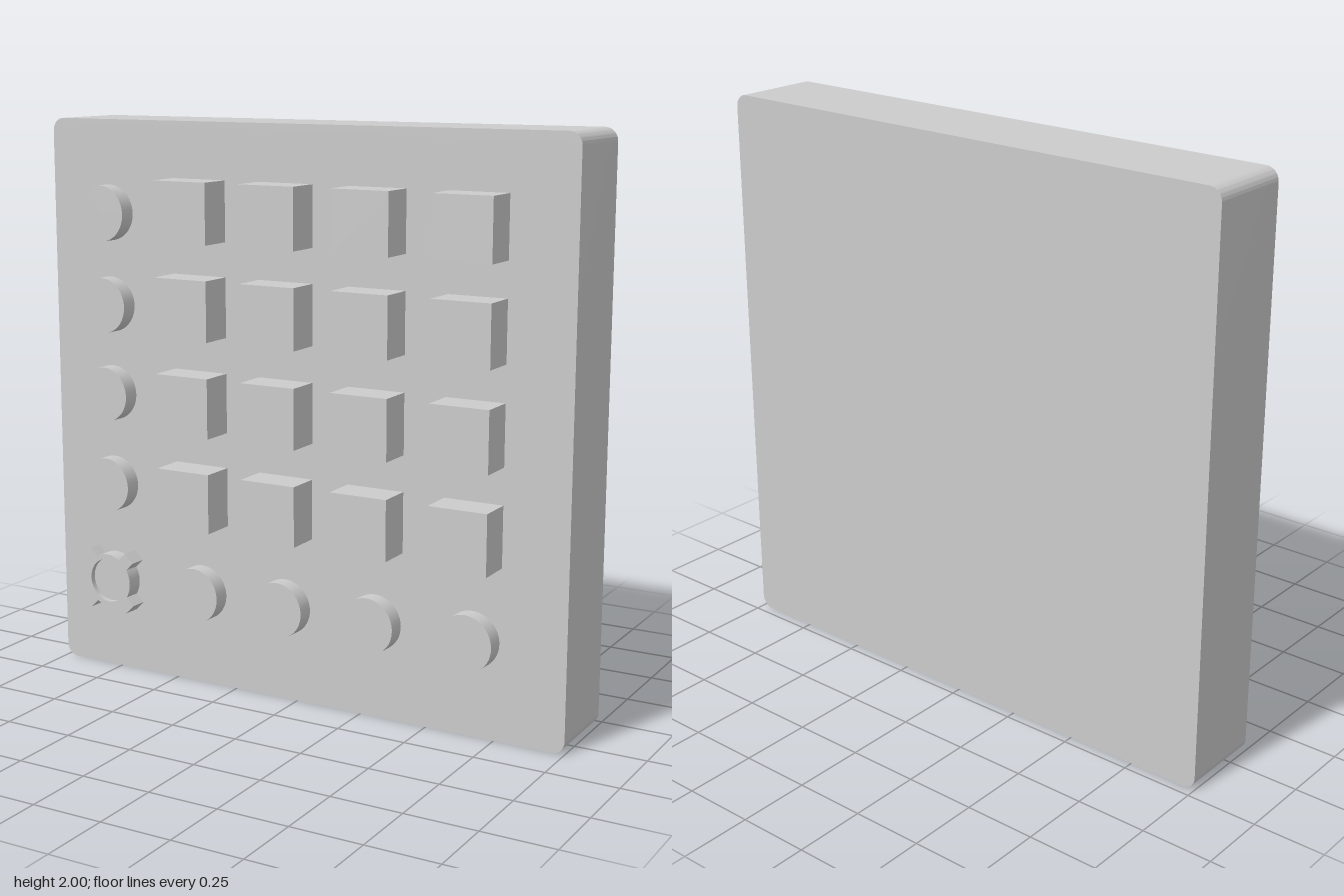
import * as THREE from 'three';
import { toCreasedNormals } from 'three/addons/utils/BufferGeometryUtils.js';

const FACE = 0.09, BACK = -0.215;
const TILT = -0.05; // round controls lean very slightly sideways
const material = new THREE.MeshStandardMaterial({ color: 0xcccccc });

function addMesh(parent, name, geometry, x = 0, y = 0, z = 0) {
  const mesh = new THREE.Mesh(geometry, material);
  mesh.name = name;
  mesh.position.set(x, y, z);
  parent.add(mesh);
  return mesh;
}

function extrude(shape, depth) {
  const geometry = new THREE.ExtrudeGeometry(shape, { depth, bevelEnabled: false, curveSegments: 24 });
  return toCreasedNormals(geometry, 0.6);
}

// Square slab outline with rounded corners
function slabShape(r) {
  const s = new THREE.Shape();
  s.absarc(1 - r, 2 - r, r, 0, Math.PI / 2);
  s.absarc(r - 1, 2 - r, r, Math.PI / 2, Math.PI);
  s.absarc(r - 1, r, r, Math.PI, Math.PI * 1.5);
  s.absarc(1 - r, r, r, Math.PI * 1.5, Math.PI * 2);
  s.closePath();
  return s;
}

// Ring outline with four diagonal lugs
function luggedRing(radius, reach, halfWidth, hole) {
  const s = new THREE.Shape();
  const a = Math.asin(halfWidth / radius), b = Math.asin(halfWidth / reach);
  for (let i = 0; i < 4; i++) {
    const mid = Math.PI / 4 + i * Math.PI / 2;
    for (const t of [mid - b, mid + b]) {
      const x = reach * Math.cos(t), y = reach * Math.sin(t);
      if (i === 0 && t < mid) s.moveTo(x, y);
      else s.lineTo(x, y);
    }
    s.absarc(0, 0, radius, mid + a, mid + Math.PI / 2 - a);
  }
  s.closePath();
  s.holes.push(new THREE.Path().absarc(0, 0, hole, 0, Math.PI * 2, true));
  return s;
}

export function createModel() {
  const model = new THREE.Group();
  model.name = 'controlPanel';

  addMesh(model, 'panelBody', extrude(slabShape(0.045), FACE - BACK), 0, 0, BACK);

  // Grid of square keys
  const xs = [-0.387, -0.045, 0.302, 0.662];
  const key = new THREE.BoxGeometry(0.21, 0.21, 0.215 - FACE);
  for (const y of [1.7, 1.37, 1.035, 0.7])
    for (const x of xs) addMesh(model, 'squareKey', key, x, y, (FACE + 0.215) / 2);

  // Round buttons down the side and along the bottom
  const disc = new THREE.CylinderGeometry(0.098, 0.098, 0.075, 48).rotateX(Math.PI / 2).rotateY(TILT);
  const spots = [
    ...[1.675, 1.35, 1.03, 0.697].map((y) => [-0.763, y]),
    ...[-0.39, -0.048, 0.304, 0.665].map((x) => [x, 0.338]),
  ];
  for (const [x, y] of spots) addMesh(model, 'roundButton', disc, x, y, 0.107);

  // Corner dial: lugged ring around a recessed disc
  const dial = new THREE.Group();
  dial.name = 'cornerDial';
  dial.position.set(-0.763, 0.338, 0.08);
  dial.rotation.y = TILT;
  addMesh(dial, 'dialRing', extrude(luggedRing(0.098, 0.138, 0.023, 0.08), 0.064));
  const floor = new THREE.CylinderGeometry(0.081, 0.081, 0.045, 48).rotateX(Math.PI / 2);
  addMesh(dial, 'dialFace', floor, 0, 0, 0.0225);
  model.add(dial);

  return model;
}
